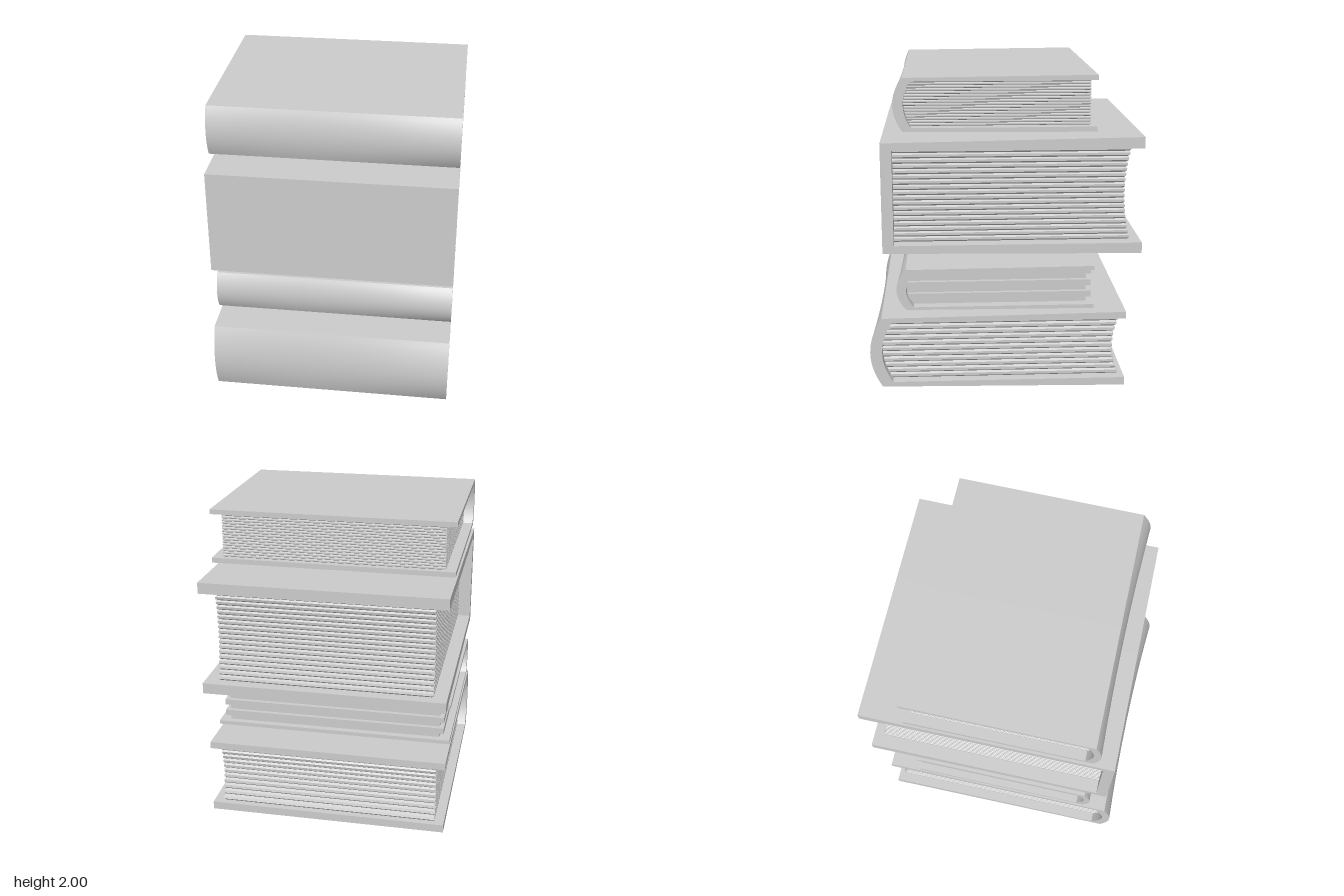
import * as THREE from 'three';
import { toCreasedNormals } from 'three/addons/utils/BufferGeometryUtils.js';

const HALF = 0.768; // half length of every spine

// back/edge/apex are z positions of the cover; yBack and yEdge are its [bottom, top] heights.
// The inner values describe the hollow that holds the pages.
const BOOKS = [
  { name: 'bottomBook', back: -0.765, edge: 0.78, apex: 0.855, yBack: [0, 0.497], yEdge: [0.022, 0.48],
    innerY: [0.052, 0.452], innerEdge: 0.715, innerApex: 0.78,
    pages: { layers: 11, back: -0.735, hollow: 0.045, inset: 0.06, ridge: 0.014 } },
  { name: 'thinBook', back: -0.555, edge: 0.62, apex: 0.68, yBack: [0.528, 0.805], yEdge: [0.536, 0.798],
    innerY: [0.553, 0.78], innerEdge: 0.575, innerApex: 0.62,
    pages: { layers: 6, back: -0.54, hollow: 0, inset: 0.04, ridge: 0.028, stepped: true } },
  { name: 'thickBook', back: -0.85, edge: 0.76, apex: 0.76, yBack: [0.885, 1.62], yEdge: [0.905, 1.597],
    innerY: [0.953, 1.55], innerEdge: 0.69, innerApex: 0.69,
    pages: { layers: 18, back: -0.787, hollow: 0.04, inset: 0.085, ridge: 0.012 } },
  { name: 'topBook', back: -0.555, edge: 0.62, apex: 0.678, yBack: [1.656, 2], yEdge: [1.666, 1.99],
    innerY: [1.688, 1.97], innerEdge: 0.572, innerApex: 0.615,
    pages: { layers: 16, back: -0.522, hollow: 0, inset: 0.065, ridge: 0.01 } },
];

// Bulge of a spine at t = 0..1 along its height
const arc = (edge, apex, t) => edge + (apex - edge) * (1 - (2 * t - 1) ** 2);

// Spine points from bottom to top as [z, y]
function spinePoints(edge, apex, [y0, y1]) {
  const n = apex > edge ? 14 : 1;
  return Array.from({ length: n + 1 }, (_, i) => [arc(edge, apex, i / n), y0 + (y1 - y0) * i / n]);
}

// C-shaped cover profile swept along x
function coverGeometry(b) {
  const profile = [
    [b.back, b.yBack[0]],
    ...spinePoints(b.edge, b.apex, b.yEdge),
    [b.back, b.yBack[1]],
    [b.back, b.innerY[1]],
    ...spinePoints(b.innerEdge, b.innerApex, b.innerY).reverse(),
    [b.back, b.innerY[0]],
  ];
  const shape = new THREE.Shape(profile.map(([z, y]) => new THREE.Vector2(-z, y)));
  const geo = new THREE.ExtrudeGeometry(shape, { depth: 2 * HALF, steps: 8, bevelEnabled: false });
  geo.rotateY(Math.PI / 2).translate(-HALF, 0, 0);
  // The spine bulge is a little flatter towards the middle of its length
  const p = geo.attributes.position;
  for (let i = 0; i < p.count; i++) {
    const u = p.getX(i) / HALF, z = p.getZ(i);
    const f = 0.55 + 0.15 * u + 0.3 * u * u;
    if (z > b.edge) p.setZ(i, b.edge + (z - b.edge) * f);
  }
  return toCreasedNormals(geo, 0.5);
}

// Page block: rectangles stacked in y, with a groove or step between layers
function pagesGeometry(b) {
  const { layers, back, hollow, inset, ridge, stepped } = b.pages;
  const [y0, y1] = b.innerY;
  const positions = [], index = [];
  const addRow = (t, cut) => {
    const y = y0 + (y1 - y0) * t;
    const w = HALF - inset - cut;
    const front = arc(b.innerEdge, b.innerApex, t) + 0.004;
    const rear = arc(back, back + hollow, t) + cut;
    positions.push(w, y, front, w, y, rear, -w, y, rear, -w, y, front);
  };
  for (let i = 0; i < layers; i++) {
    const rows = stepped
      ? [[0, i % 2 ? 0 : ridge], [1, i % 2 ? 0 : ridge]]
      : [[0, ridge], [0.3, 0], [0.75, 0], [1, ridge]];
    for (const [s, cut] of rows) addRow((i + s) / layers, cut);
  }
  const rowCount = positions.length / 12;
  for (let r = 0; r < rowCount - 1; r++) {
    for (let j = 0; j < 4; j++) {
      const a = r * 4 + j, c = r * 4 + (j + 1) % 4;
      index.push(a, c, c + 4, a, c + 4, a + 4);
    }
  }
  // Closed bottom and top
  const k = (rowCount - 1) * 4;
  index.push(0, 2, 1, 0, 3, 2, k, k + 1, k + 2, k, k + 2, k + 3);
  const geo = new THREE.BufferGeometry();
  geo.setAttribute('position', new THREE.Float32BufferAttribute(positions, 3));
  geo.setIndex(index);
  const flat = geo.toNonIndexed();
  flat.computeVertexNormals();
  return flat;
}

export function createModel() {
  const model = new THREE.Group();
  model.name = 'bookStack';
  const material = new THREE.MeshStandardMaterial({ color: 0xcccccc });
  for (const b of BOOKS) {
    const book = new THREE.Group();
    book.name = b.name;
    const cover = new THREE.Mesh(coverGeometry(b), material);
    cover.name = 'cover';
    const pages = new THREE.Mesh(pagesGeometry(b), material);
    pages.name = 'pages';
    book.add(cover, pages);
    model.add(book);
  }
  return model;
}
